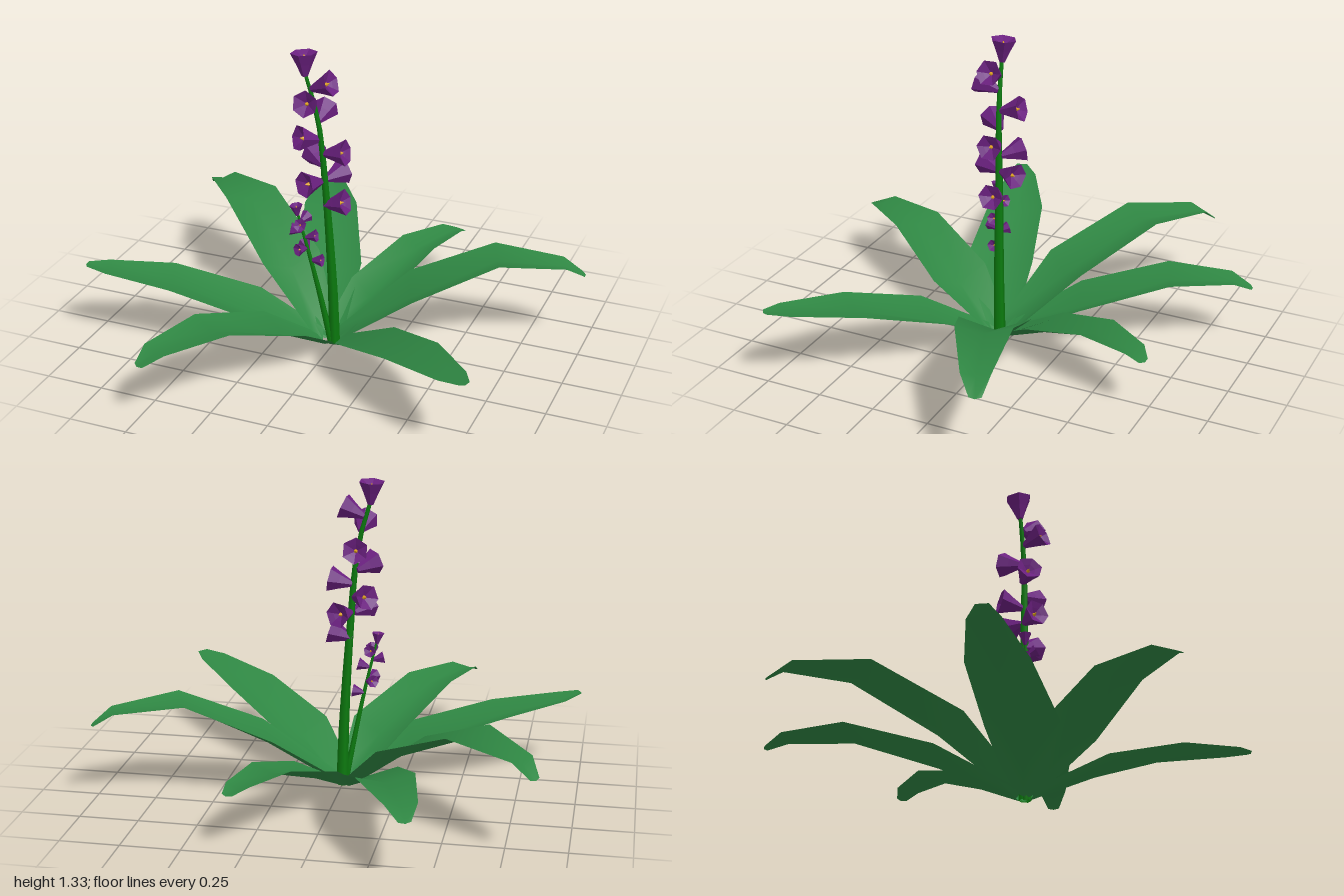
import * as THREE from 'three';

const leafMat = new THREE.MeshStandardMaterial({ name: 'leaf green', color: 0x2f8743, side: THREE.DoubleSide });
const stemMat = new THREE.MeshStandardMaterial({ name: 'stem green', color: 0x0b7a0e, side: THREE.DoubleSide });
const petalMat = new THREE.MeshStandardMaterial({ name: 'petal purple', color: 0x6b2080, side: THREE.DoubleSide, flatShading: true });
const heartMat = new THREE.MeshStandardMaterial({ name: 'flower heart yellow', color: 0xdca01e, flatShading: true });

const V = (x, y, z) => new THREE.Vector3(x, y, z);

// Leaf: shallow trough lofted through [x, y, z, width] sections, y being the raised edges
function makeLeaf(rows) {
  const first = rows[0];
  const tip = rows[rows.length - 1];
  const root = V(-0.02, 0, 0.05);
  const out = V(first[0] - root.x, 0, first[2] - root.z).normalize().multiplyScalar(0.03);
  const sections = [[root.x + out.x, 0.035, root.z + out.z, 0.12], ...rows];
  const dir = V(tip[0] - root.x, 0, tip[2] - root.z).normalize();
  const side = V(dir.z, 0, -dir.x);
  const pos = [];
  const index = [];
  sections.forEach(([x, y, z, w], i) => {
    const sag = [0.035, 0.055, 0.03, 0.015, 0.003][i];
    for (let j = -1; j <= 1; j++) {
      // the midrib runs lower, and ends slightly further out at the tip
      const ahead = j === 0 && i === 4 ? 0.008 : 0;
      pos.push(x + side.x * j * w / 2 + dir.x * ahead, j === 0 ? y - sag : y, z + side.z * j * w / 2 + dir.z * ahead);
    }
    if (i === 0) return;
    for (let j = 0; j < 2; j++) {
      const a = (i - 1) * 3 + j;
      index.push(a, a + 3, a + 1, a + 1, a + 3, a + 4);
    }
  });
  const geo = new THREE.BufferGeometry();
  geo.setAttribute('position', new THREE.Float32BufferAttribute(pos, 3));
  geo.setIndex(index);
  geo.computeVertexNormals();
  const mesh = new THREE.Mesh(geo, leafMat);
  mesh.name = 'leaf';
  return mesh;
}

// Stem: tapered six-sided tube along a curve
function makeStem(points, r0, r1) {
  const curve = new THREE.CatmullRomCurve3(points.map(p => V(...p)));
  const n = 10;
  const geo = new THREE.TubeGeometry(curve, n, 1, 6);
  const p = geo.attributes.position;
  const v = V(0, 0, 0);
  for (let i = 0; i < p.count; i++) {
    const t = Math.floor(i / 7) / n;
    const c = curve.getPointAt(t);
    v.fromBufferAttribute(p, i).sub(c).multiplyScalar(r0 + (r1 - r0) * t).add(c);
    p.setXYZ(i, v.x, v.y, v.z);
  }
  const mesh = new THREE.Mesh(geo, stemMat);
  mesh.name = 'stem';
  return mesh;
}

// Flower: six-sided bell with a sunken mouth and a small heart
const bellGeo = new THREE.LatheGeometry(
  [[0, 0], [0.013, 0.002], [0.035, 0.055], [0.056, 0.1], [0.03, 0.087], [0, 0.07]].map(p => new THREE.Vector2(...p)), 6);
const heartGeo = new THREE.ConeGeometry(0.01, 0.022, 6).translate(0, 0.083, 0);

function makeFlower([x, y, z, dx, dy, dz], size) {
  const flower = new THREE.Group();
  flower.name = 'flower';
  const bell = new THREE.Mesh(bellGeo, petalMat);
  bell.name = 'bell';
  const heart = new THREE.Mesh(heartGeo, heartMat);
  heart.name = 'flowerHeart';
  flower.add(bell, heart);
  flower.position.set(x, y, z);
  flower.quaternion.setFromUnitVectors(V(0, 1, 0), V(dx, dy, dz).normalize());
  flower.scale.setScalar(size);
  return flower;
}

function makeSpike(name, points, r0, r1, flowers, size) {
  const spike = new THREE.Group();
  spike.name = name;
  spike.add(makeStem(points, r0, r1));
  flowers.forEach(f => spike.add(makeFlower(f, size)));
  return spike;
}

export function createModel() {
  const model = new THREE.Group();
  model.name = 'floweringPlant';

  // Rosette of seven leaves
  const leaves = new THREE.Group();
  leaves.name = 'leaves';
  [
    [[-0.15, 0.2, -0.27, 0.28], [-0.29, 0.32, -0.62, 0.24], [-0.39, 0.31, -0.87, 0.13], [-0.415, 0.27, -0.945, 0.05]],
    [[0.07, 0.17, -0.2, 0.22], [0.19, 0.27, -0.49, 0.19], [0.28, 0.265, -0.69, 0.11], [0.31, 0.24, -0.74, 0.05]],
    [[0.3, 0.27, -0.08, 0.3], [0.64, 0.43, -0.2, 0.23], [0.91, 0.395, -0.3, 0.12], [0.985, 0.34, -0.335, 0.05]],
    [[0.22, 0.19, 0.25, 0.28], [0.5, 0.3, 0.47, 0.25], [0.73, 0.345, 0.66, 0.13], [0.795, 0.355, 0.71, 0.05]],
    [[-0.12, 0.2, 0.3, 0.28], [-0.3, 0.32, 0.61, 0.23], [-0.43, 0.31, 0.86, 0.13], [-0.465, 0.27, 0.93, 0.05]],
    [[-0.29, 0.2, 0.19, 0.3], [-0.65, 0.305, 0.28, 0.25], [-0.91, 0.345, 0.37, 0.13], [-0.985, 0.36, 0.405, 0.05]],
    [[-0.28, 0.27, -0.14, 0.28], [-0.58, 0.43, -0.375, 0.25], [-0.81, 0.4, -0.56, 0.12], [-0.865, 0.34, -0.61, 0.05]],
  ].forEach(rows => leaves.add(makeLeaf(rows)));
  model.add(leaves);

  // Tall flower spike: flowers as base position and facing
  model.add(makeSpike('tallSpike',
    [[0, 0, 0.045], [-0.005, 0.25, 0.05], [-0.03, 0.7, 0.06], [-0.06, 1.05, 0.075], [-0.11, 1.24, 0.085]], 0.026, 0.008,
    [
      [-0.11, 1.225, 0.085, -0.06, 1, -0.05],
      [-0.085, 1.175, 0.085, 0.9, 0.4, 0.05],
      [-0.07, 1.115, 0.08, -0.05, 0.3, 1],
      [-0.06, 1.03, 0.07, -0.05, 0.25, -1],
      [-0.055, 0.95, 0.065, -0.65, 0.25, 0.7],
      [-0.04, 0.89, 0.065, 1, 0.2, 0],
      [-0.045, 0.835, 0.06, -0.7, 0.2, -0.7],
      [-0.045, 0.765, 0.065, -0.5, 0.15, 1],
      [-0.035, 0.77, 0.055, 0.45, 0.1, -0.95],
      [-0.04, 0.655, 0.06, 0.95, 0.3, 0],
    ], 1));

  // Short flower spike
  model.add(makeSpike('shortSpike',
    [[-0.01, 0, 0.055], [-0.05, 0.22, 0.075], [-0.09, 0.43, 0.1], [-0.135, 0.63, 0.12]], 0.015, 0.005,
    [
      [-0.135, 0.615, 0.12, -0.1, 1, 0.05],
      [-0.125, 0.585, 0.115, 0.3, 0.3, -1],
      [-0.12, 0.57, 0.115, 0.25, 0.5, 0.9],
      [-0.115, 0.545, 0.115, -0.9, 0.2, 0.3],
      [-0.105, 0.515, 0.108, 1, 0.3, -0.1],
      [-0.1, 0.465, 0.105, -0.5, 0.1, 0.9],
      [-0.095, 0.455, 0.1, -0.6, 0.2, -0.6],
      [-0.085, 0.405, 0.095, 1, 0.15, -0.05],
    ], 0.5));

  return model;
}
